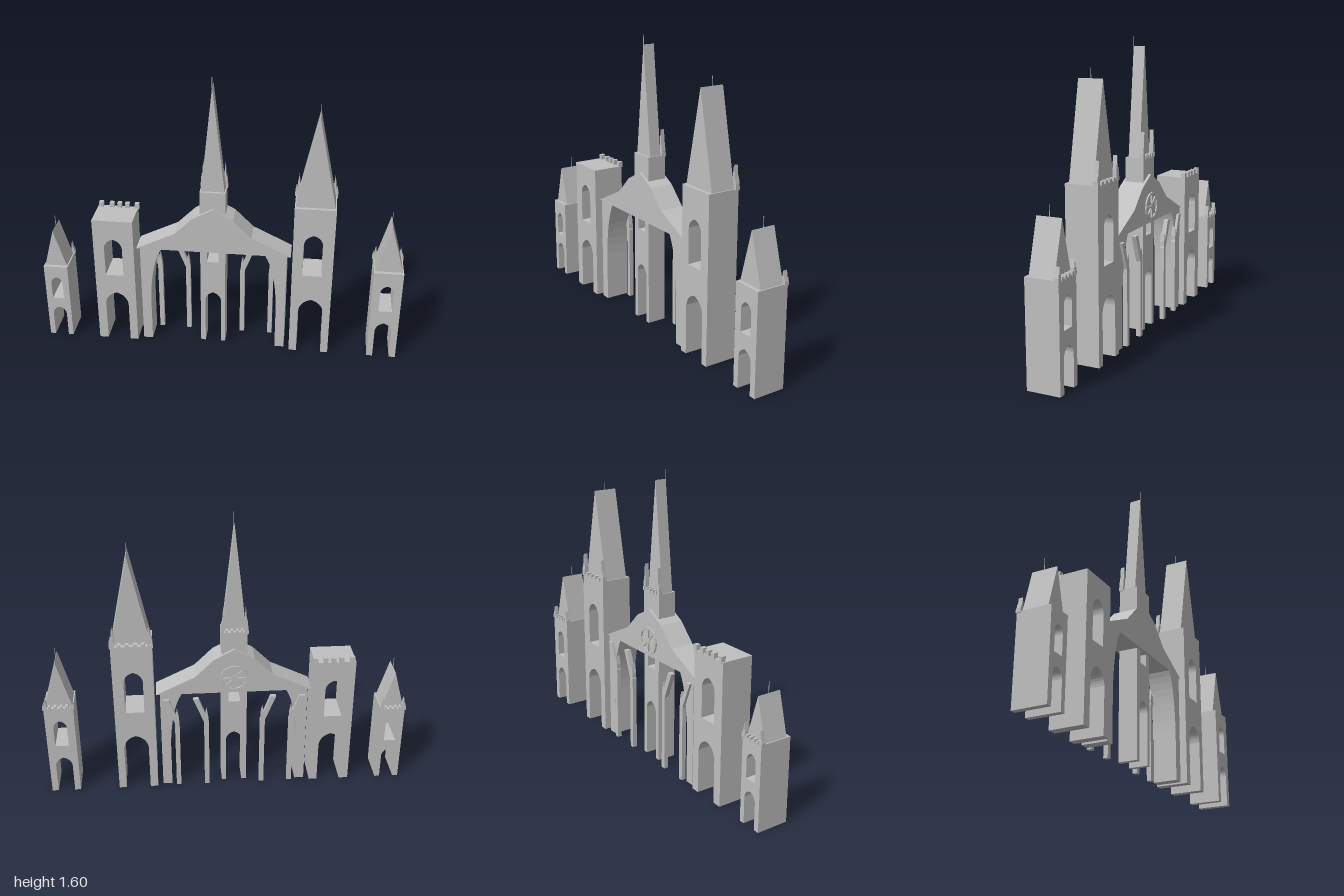
import * as THREE from 'three';

const stone = new THREE.MeshStandardMaterial({ color: 0xc0c0c0 });
stone.name = 'stone';

export function createModel() {
  const model = new THREE.Group();
  model.name = 'cathedral';

  // Extrudes a front outline between two depths
  function slab(parent, name, shape, z0, z1) {
    const s = Array.isArray(shape) ? new THREE.Shape(shape.map(([x, y]) => new THREE.Vector2(x, y))) : shape;
    const geo = new THREE.ExtrudeGeometry(s, { depth: z1 - z0, bevelEnabled: false, curveSegments: 8 });
    geo.translate(0, 0, z0);
    const mesh = new THREE.Mesh(geo, stone);
    mesh.name = name;
    parent.add(mesh);
    return mesh;
  }

  const rect = (x0, x1, y0, y1) => [[x0, y0], [x1, y0], [x1, y1], [x0, y1]];

  // Slightly pointed arch from the left spring point to the right one
  function archTop(path, x0, x1, top) {
    const w = x1 - x0, c = (x0 + x1) / 2, spring = top - w * 0.55;
    path.lineTo(x0, spring);
    path.quadraticCurveTo(x0 + w * 0.07, top - w * 0.12, c, top);
    path.quadraticCurveTo(x1 - w * 0.07, top - w * 0.12, x1, spring);
  }

  // Tower body with an open doorway and a window through it
  function towerBody(parent, t) {
    const s = new THREE.Shape();
    s.moveTo(t.x0, 0);
    s.lineTo(t.door[0], 0);
    archTop(s, ...t.door);
    s.lineTo(t.door[1], 0);
    s.lineTo(t.x1, 0);
    s.lineTo(t.x1, t.h);
    s.lineTo(t.x0, t.h);
    s.closePath();
    const [wx0, wx1, sill, wTop] = t.win;
    const hole = new THREE.Path();
    hole.moveTo(wx0, sill);
    archTop(hole, wx0, wx1, wTop);
    hole.lineTo(wx1, sill);
    hole.closePath();
    s.holes.push(hole);
    slab(parent, 'towerBody', s, t.z[0], t.z[1]);
  }

  // Pinnacle: short shaft with a steep point
  function pinnacle(parent, x, y, w, h, z0, z1) {
    slab(parent, 'pinnacle', [[x - w / 2, y], [x + w / 2, y], [x + w / 2, y + h * 0.4],
      [x, y + h], [x - w / 2, y + h * 0.4]], z0, z1);
  }

  const towers = [
    { name: 'farRightTower', x0: -0.995, x1: -0.86, h: 0.46, z: [-0.09, 0.09], door: [-0.965, -0.888, 0.19],
      win: [-0.96, -0.895, 0.25, 0.39], apex: [-0.93, 0.68], tip: 0.74, pin: 0.07, sz: [-0.065, 0.07] },
    { name: 'flatTower', x0: -0.70, x1: -0.475, h: 0.775, z: [-0.09, 0.09], door: [-0.65, -0.52, 0.315],
      win: [-0.64, -0.54, 0.43, 0.66] },
    { name: 'centralTower', x0: -0.112, x1: 0.027, h: 0.96, z: [-0.055, 0.05], door: [-0.085, 0.003, 0.33],
      win: [-0.075, -0.01, 0.53, 0.67], apex: [-0.043, 1.55], tip: 1.6, pin: 0.14, sz: [-0.03, 0.035], mastZ: 0.034 },
    { name: 'tallTower', x0: 0.395, x1: 0.615, h: 0.915, z: [-0.09, 0.09], door: [0.438, 0.575, 0.35],
      win: [0.452, 0.556, 0.505, 0.757], apex: [0.505, 1.415], tip: 1.465, pin: 0.12, sz: [-0.065, 0.07] },
    { name: 'farLeftTower', x0: 0.835, x1: 0.995, h: 0.55, z: [-0.09, 0.09], door: [0.868, 0.96, 0.225],
      win: [0.878, 0.952, 0.305, 0.468], apex: [0.912, 0.82], tip: 0.875, pin: 0.065, sz: [-0.065, 0.07] },
  ];

  for (const t of towers) {
    const g = new THREE.Group();
    g.name = t.name;
    model.add(g);
    towerBody(g, t);
    const back = t.z[0], z0 = back - 0.003, z1 = back + 0.022;

    if (!t.apex) {
      // Battlements on the back edge of the flat roof
      for (const x of [-0.68, -0.62, -0.577, -0.534, -0.48])
        slab(g, 'battlement', rect(x - 0.012, x + 0.012, t.h - 0.005, t.h + 0.028), z0, z1);
      continue;
    }
    // Spire and mast
    const [ax, ay] = t.apex;
    slab(g, 'spire', [[t.x0 + 0.006, t.h], [t.x1 - 0.006, t.h], [ax, ay]], ...t.sz);
    const mast = new THREE.Mesh(new THREE.CylinderGeometry(0.0015, 0.002, t.tip - ay + 0.01, 6), stone);
    mast.name = 'mast';
    mast.position.set(ax, (t.tip + ay - 0.01) / 2, t.mastZ ?? 0);
    g.add(mast);

    // Battlements along the back edge
    const w = t.x1 - t.x0, n = 6, bw = w / (2 * n - 1);
    for (let i = 0; i < n; i++) {
      const x = t.x0 + (w + 0.008) * (2 * i) / (2 * n - 1) - 0.005 * (i < n / 2 ? 1 : 0.6);
      slab(g, 'battlement', rect(x, x + bw, t.h - 0.008, t.h + 0.014), z0, z1);
    }
    // Tall and short pinnacles at both back corners
    const pw = Math.min(0.018, w * 0.09);
    for (const side of [-1, 1]) {
      const edge = side < 0 ? t.x0 : t.x1;
      pinnacle(g, edge - side * pw * 0.8, t.h, pw, t.pin, z0 + 0.002, z1);
      pinnacle(g, edge - side * pw * 0.1, t.h, pw * 0.7, t.pin * 0.5, z0 + 0.002, z1);
    }
  }

  // Nave roof, symmetric about the central axis
  const cx = -0.04;
  const half = [[0.425, 0.6], [0.21, 0.705], [0.155, 0.76], [0.11, 0.805]];
  slab(model, 'naveRoof', [...half.map(([x, y]) => [cx + x, y]), [cx, 0.865],
    ...half.slice().reverse().map(([x, y]) => [cx - x, y])], -0.07, 0.065);

  // Arched nave side walls
  for (const m of [-1, 1]) {
    const s = new THREE.Shape();
    s.moveTo(cx + m * 0.405, 0);
    s.lineTo(cx + m * 0.405, 0.6);
    s.lineTo(cx + m * 0.287, 0.6);
    s.quadraticCurveTo(cx + m * 0.345, 0.5, cx + m * 0.353, 0.28);
    s.lineTo(cx + m * 0.353, 0);
    s.closePath();
    slab(model, 'naveArchWall', s, -0.07, 0.065);
  }

  // Flying buttresses behind the nave
  for (const [x, m] of [[-0.345, -1], [-0.185, -1], [0.1, 1], [0.262, 1]]) {
    const pts = [[0, 0], [0.026, 0], [0.026, 0.42], [0.085, 0.57], [0.055, 0.572], [0, 0.42]];
    slab(model, 'buttress', pts.map(([px, py]) => [x + m * px, py]), -0.085, -0.06);
    pinnacle(model, x + m * 0.012, 0.42, 0.018, 0.085, -0.085, -0.06);
  }

  // Rose window on the back gable
  const rose = new THREE.Group();
  rose.name = 'roseWindow';
  rose.position.set(cx, 0.69, 0);
  model.add(rose);
  const ringShape = (r, hole) => {
    const s = new THREE.Shape().absarc(0, 0, r, 0, Math.PI * 2);
    if (hole) s.holes.push(new THREE.Path().absarc(0, 0, hole, 0, Math.PI * 2));
    return s;
  };
  slab(rose, 'roseRim', ringShape(0.077, 0.064), -0.078, -0.068);
  slab(rose, 'roseHub', ringShape(0.016), -0.078, -0.068);
  for (let i = 0; i < 8; i++)
    slab(rose, 'roseSpoke', rect(0.01, 0.067, -0.004, 0.004), -0.077, -0.068).rotation.z = i * Math.PI / 4;

  return model;
}
